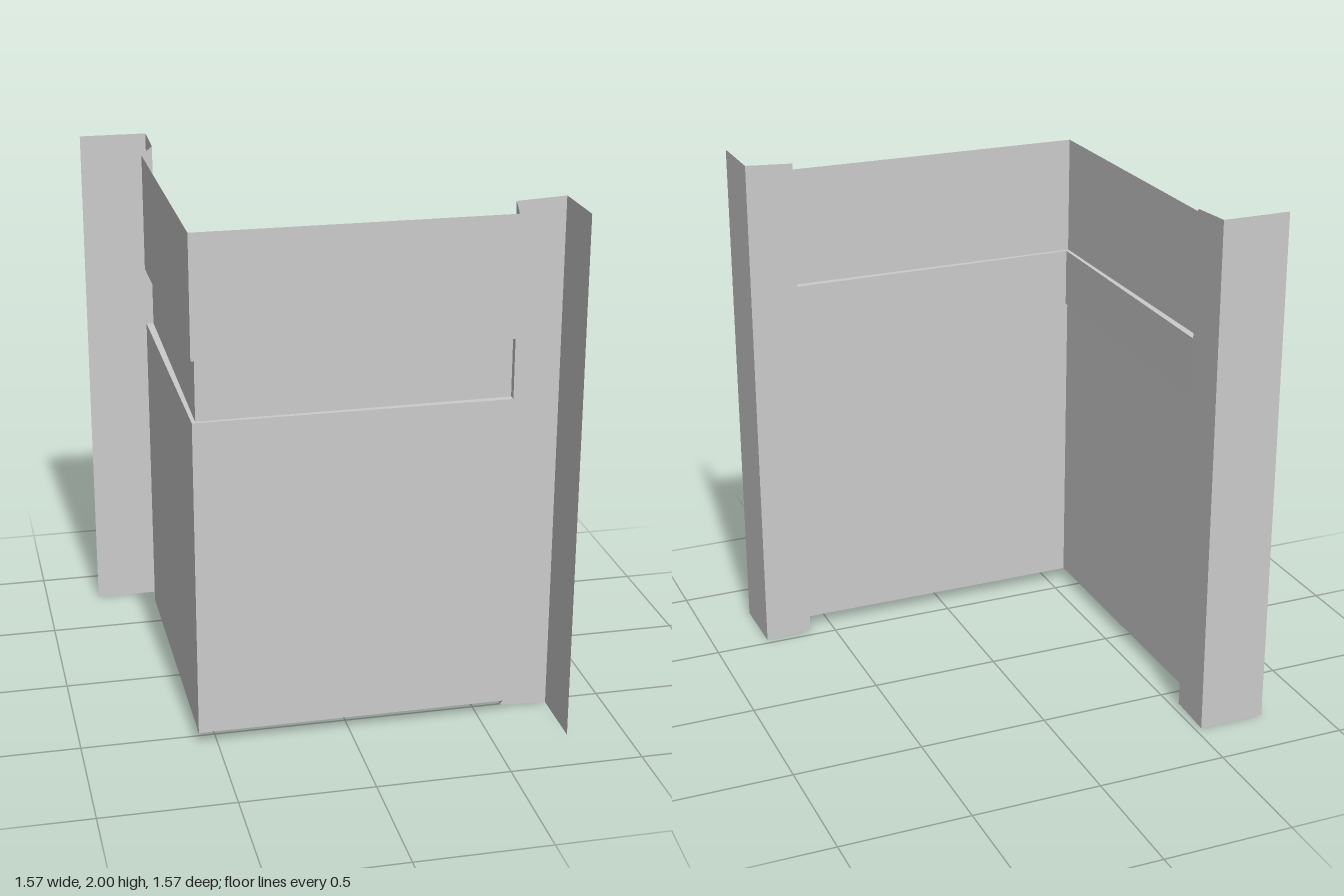
import * as THREE from 'three';

const material = new THREE.MeshStandardMaterial({ color: 0xcccccc, flatShading: true, side: THREE.DoubleSide });

// Open sheet spanned between two polylines with the same number of points
function sheet(name, a, b) {
  const pos = [];
  for (let i = 0; i < a.length - 1; i++) {
    pos.push(...a[i], ...b[i], ...b[i + 1], ...a[i], ...b[i + 1], ...a[i + 1]);
  }
  const geo = new THREE.BufferGeometry();
  geo.setAttribute('position', new THREE.Float32BufferAttribute(pos, 3));
  geo.computeVertexNormals();
  const mesh = new THREE.Mesh(geo, material);
  mesh.name = name;
  return mesh;
}

// Wall section from bottom to top, with the recessed band
const wallProfile = (x, xIn, z, zIn) => [
  [x, 0.05, z], [x, 1.27, z], [xIn, 1.27, zIn],
  [xIn, 1.497, zIn], [x, 1.497, z], [x, 1.955, z],
];

// Plan of the folded edge post: x, z, and how far its ends stop short
const postPlan = [
  [0.6, 0.567, 0.05], [0.6, 0.525, 0.01], [0.785, 0.525, 0], [0.785, 0.785, 0],
];

// The second wing is the first one mirrored across the corner diagonal
const mirror = ([x, y, z]) => [-z, y, -x];

function wing(name, mirrored) {
  const group = new THREE.Group();
  group.name = name;
  const place = (points) => (mirrored ? points.map(mirror).reverse() : points);

  const corner = wallProfile(-0.57, -0.556, 0.57, 0.556);
  const end = wallProfile(0.6, 0.6, 0.567, 0.539);
  group.add(sheet('groovedWall', place(corner), place(end)));

  const bottom = postPlan.map(([x, z, inset]) => [x, inset, z]);
  const top = postPlan.map(([x, z, inset]) => [x, inset ? 2.0 - (inset === 0.05 ? 0.045 : inset) : 2, z]);
  group.add(sheet('edgePost', place(top), place(bottom)));
  return group;
}

export function createModel() {
  const model = new THREE.Group();
  model.name = 'cornerPanel';
  model.add(wing('frontWing', false), wing('sideWing', true));
  return model;
}
